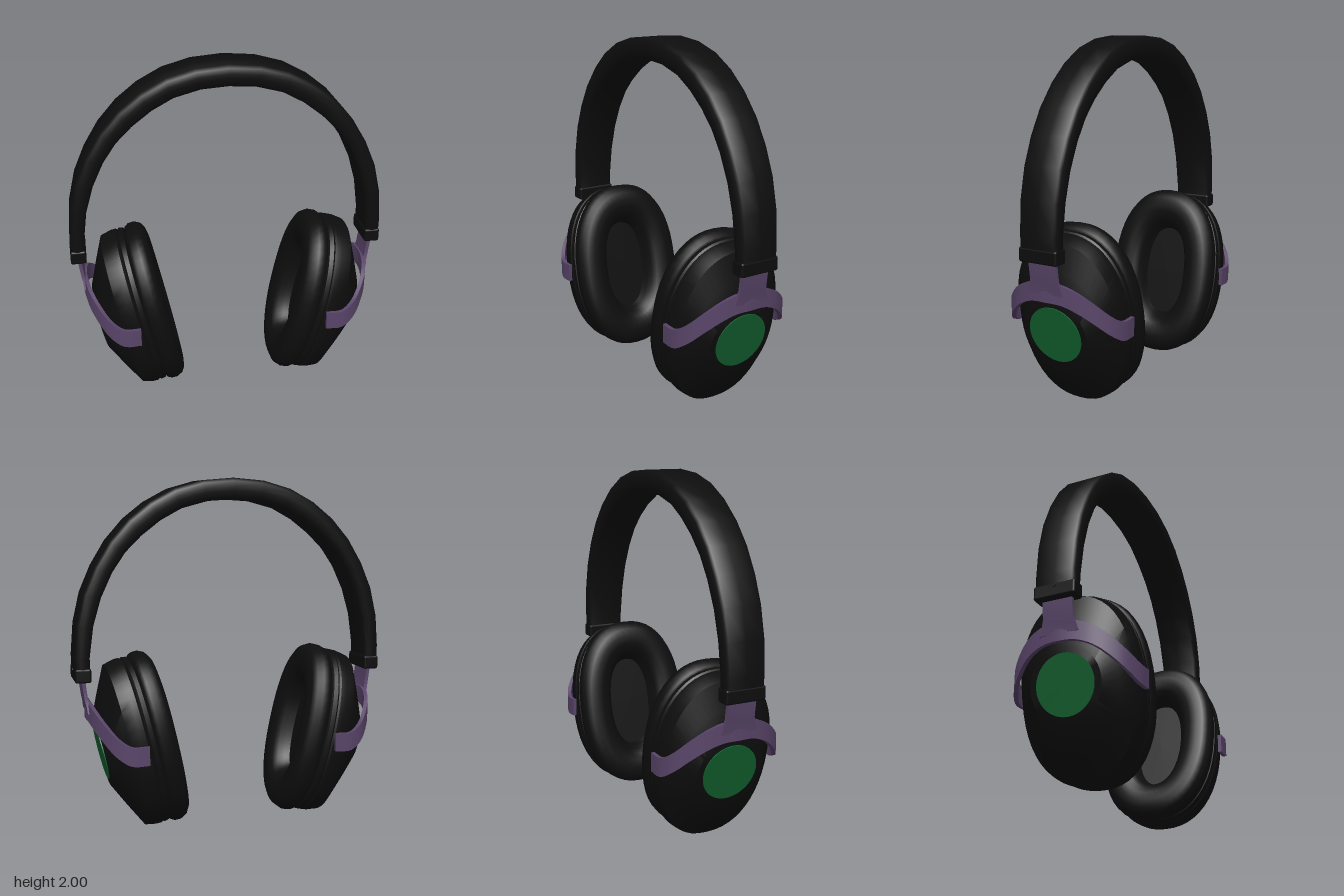
import * as THREE from 'three';
import { toCreasedNormals } from 'three/addons/utils/BufferGeometryUtils.js';
import { RoundedBoxGeometry } from 'three/addons/geometries/RoundedBoxGeometry.js';

const black = new THREE.MeshStandardMaterial({ name: 'black', color: 0x0d0d0d });
const purple = new THREE.MeshStandardMaterial({ name: 'purple', color: 0x584468 });
const green = new THREE.MeshStandardMaterial({ name: 'green', color: 0x12602f });

// Skin a list of closed rings (counterclockwise about the travel direction) and cap both ends.
function loft(rings, crease = 0.6) {
  const n = rings[0].length, pos = [], index = [];
  rings.forEach(ring => ring.forEach(p => pos.push(...p)));
  for (let i = 0; i < rings.length - 1; i++) {
    for (let j = 0; j < n; j++) {
      const a = i * n + j, b = i * n + (j + 1) % n;
      index.push(a, b, a + n, b, b + n, a + n);
    }
  }
  [0, rings.length - 1].forEach(i => {
    const c = pos.length / 3;
    for (let k = 0; k < 3; k++) pos.push(rings[i].reduce((s, p) => s + p[k], 0) / n);
    for (let j = 0; j < n; j++) {
      const a = i * n + j, b = i * n + (j + 1) % n;
      index.push(...(i ? [c, a, b] : [c, b, a]));
    }
  });
  const g = new THREE.BufferGeometry();
  g.setAttribute('position', new THREE.Float32BufferAttribute(pos, 3));
  g.setIndex(index);
  return toCreasedNormals(g, crease);
}

function part(parent, name, geometry, material) {
  const m = new THREE.Mesh(geometry, material);
  m.name = name;
  parent.add(m);
  return m;
}

// Oval rings along x from rows of [x, half width, half height, roundness exponent].
function ovalLoft(rows, crease) {
  return loft(rows.map(([x, w, h, e = 2.3]) => Array.from({ length: 48 }, (_, j) => {
    const t = j / 48 * Math.PI * 2, c = Math.cos(t), s = Math.sin(t);
    return [x, h * Math.sign(c) * Math.abs(c) ** (2 / e), w * Math.sign(s) * Math.abs(s) ** (2 / e)];
  })), crease);
}

// Padded arch: [outer x, outer y, inner x, inner y, half width], top to left end.
function headband() {
  const half = [
    [0, 2, 0, 1.88, 0.13], [0.18, 1.985, 0.15, 1.87, 0.13], [0.34, 1.94, 0.30, 1.83, 0.13],
    [0.48, 1.865, 0.42, 1.765, 0.13], [0.60, 1.77, 0.53, 1.68, 0.128], [0.705, 1.65, 0.62, 1.59, 0.127],
    [0.79, 1.51, 0.695, 1.48, 0.126], [0.855, 1.36, 0.76, 1.34, 0.124], [0.895, 1.19, 0.805, 1.185, 0.122],
    [0.91, 1.01, 0.828, 1.01, 0.118], [0.91, 0.93, 0.828, 0.93, 0.116],
  ];
  const right = half.slice(1).reverse().map(([a, b, c, d, w]) => [-a, b, -c, d, w]);
  const side = [[1, 0], [1, 0.85], [0.86, 0.96], [0.6, 1], [0.4, 1], [0.14, 0.96], [0, 0.85], [0, 0]];
  const section = [...side, ...side.slice(1, -1).reverse().map(([r, s]) => [r, -s])];
  return loft([...right, ...half].map(([ox, oy, ix, iy, w]) =>
    section.map(([r, s]) => [ix + (ox - ix) * r, iy + (oy - iy) * r, s * w])), 0.9);
}

// Thin curved fork that grips the cup at the front and back.
function yokeArms() {
  const half = [[0.83, 0.695, 0.09], [0.81, 0.662, 0.175], [0.77, 0.605, 0.25],
    [0.71, 0.535, 0.315], [0.64, 0.492, 0.346], [0.545, 0.492, 0.35]];
  const pts = [...half.slice().reverse().map(([x, y, z]) => [x, y, -z]), [0.838, 0.7, 0], ...half];
  const curve = new THREE.CatmullRomCurve3(pts.map(p => new THREE.Vector3(...p)));
  const up = new THREE.Vector3(0, 1, 0), rings = [];
  for (let i = 0; i <= 48; i++) {
    const p = curve.getPoint(i / 48);
    const side = curve.getTangent(i / 48).setY(0).normalize().cross(up);
    rings.push([[1, -1], [1, 1], [-1, 1], [-1, -1]].map(([a, b]) =>
      p.clone().addScaledVector(up, a * 0.053).addScaledVector(side, b * 0.011).toArray()));
  }
  return loft(rings);
}

// Slider strip from the band end down to the fork.
function yokeStem() {
  const rows = [[0.866, 0.92, 0.085], [0.862, 0.86, 0.085], [0.85, 0.77, 0.085], [0.842, 0.735, 0.095], [0.836, 0.69, 0.11]];
  return loft(rows.map(([x, y, w]) =>
    [[1, -1], [1, 1], [-1, 1], [-1, -1]].map(([a, b]) => [x + a * 0.01, y, b * w])));
}

function earSide() {
  const side = new THREE.Group();

  // Tilted ear cup; local +x points outward.
  const cup = new THREE.Group();
  cup.name = 'earCup';
  cup.position.set(0.51, 0.5, 0);
  cup.rotation.z = -0.2187;
  side.add(cup);
  part(cup, 'earCushion', ovalLoft([
    [-0.04, 0.13, 0.27], [-0.07, 0.145, 0.285], [-0.105, 0.16, 0.305], [-0.132, 0.185, 0.335], [-0.147, 0.225, 0.375],
    [-0.148, 0.265, 0.42], [-0.14, 0.305, 0.465], [-0.12, 0.333, 0.495], [-0.085, 0.346, 0.512],
    [-0.05, 0.346, 0.51], [-0.03, 0.338, 0.498], [-0.02, 0.325, 0.48],
  ], 1), black);
  part(cup, 'cupShell', ovalLoft([
    [-0.025, 0.325, 0.478], [-0.015, 0.338, 0.493], [0.01, 0.342, 0.498], [0.02, 0.335, 0.49], [0.03, 0.342, 0.498],
    [0.06, 0.342, 0.497], [0.122, 0.326, 0.483], [0.19, 0.27, 0.345, 2.15], [0.255, 0.2, 0.205, 2],
  ], 0.6), black);
  const disc = part(cup, 'outerDisc', new THREE.CylinderGeometry(0.163, 0.163, 0.008, 48), green);
  disc.rotation.z = -Math.PI / 2;
  disc.position.x = 0.257;

  // Yoke
  part(side, 'yokeArms', yokeArms(), purple);
  part(side, 'yokeStem', yokeStem(), purple);

  // Band end sleeve with its small rivet
  part(side, 'bandSleeve', new RoundedBoxGeometry(0.09, 0.08, 0.238, 2, 0.012), black).position.set(0.867, 0.908, 0);
  const rivet = part(side, 'rivet', new THREE.CylinderGeometry(0.01, 0.01, 0.006, 12), black);
  rivet.rotation.z = -Math.PI / 2;
  rivet.position.set(0.913, 0.93, 0);
  return side;
}

export function createModel() {
  const model = new THREE.Group();
  model.name = 'headphones';
  part(model, 'headband', headband(), black);
  const left = earSide(), right = earSide();
  left.name = 'leftSide';
  right.name = 'rightSide';
  right.rotation.y = Math.PI; // each side is symmetric front to back
  model.add(left, right);
  return model;
}
